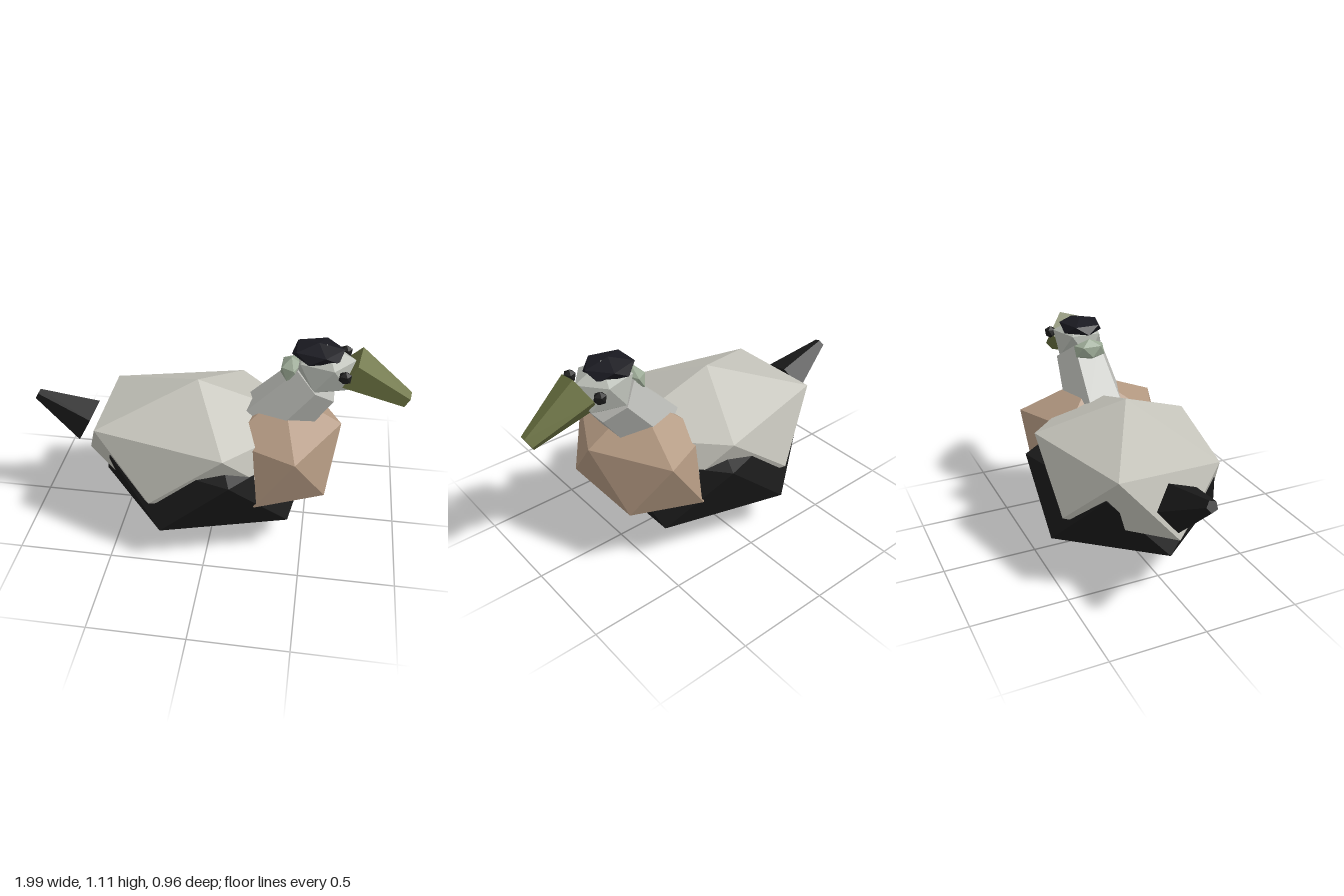
import * as THREE from 'three';

const material = (color) => new THREE.MeshStandardMaterial({ color, flatShading: true });
const black = material(0x1a1a1a);
const capBlack = material(0x191920);
const backGrey = material(0xc4c3ba);
const neckGrey = material(0xb9bab5);
const headGrey = material(0xb4b8b0);
const tuftGreen = material(0x9aa894);
const tan = material(0xb0967f);
const olive = material(0x6c7342);

// Stretched icosahedron standing on a corner, with an upper-ring corner towards +x
const TILT = Math.atan(2 / (1 + Math.sqrt(5)));
function gem(name, mat, center, radii) {
  const geometry = new THREE.IcosahedronGeometry(1, 0);
  geometry.rotateZ(-TILT).scale(...radii);
  const mesh = new THREE.Mesh(geometry, mat);
  mesh.name = name;
  mesh.position.set(...center);
  return mesh;
}

// Tapered prism between two points of the z = 0 plane
function taper(name, mat, [ax, ay], [bx, by], ra, rb, sides) {
  const dx = bx - ax, dy = by - ay;
  const geometry = new THREE.CylinderGeometry(rb, ra, Math.hypot(dx, dy), sides, 1, false, Math.PI);
  const mesh = new THREE.Mesh(geometry, mat);
  mesh.name = name;
  mesh.position.set((ax + bx) / 2, (ay + by) / 2, 0);
  mesh.rotation.z = Math.atan2(-dx, dy);
  return mesh;
}

export function createModel() {
  const bird = new THREE.Group();
  bird.name = 'waterBird';

  // Body
  bird.add(
    gem('belly', black, [-0.05, 0.36, 0], [0.65, 0.36, 0.565]),
    gem('back', backGrey, [-0.1, 0.495, 0], [0.693, 0.347, 0.515]),
    gem('breast', tan, [0.347, 0.495, 0], [0.35, 0.324, 0.47]),
    taper('tail', black, [-0.71, 0.522], [-0.987, 0.668], 0.125, 0.03, 5),
  );

  // Neck and head
  bird.add(
    taper('neck', neckGrey, [0.285, 0.63], [0.512, 0.9], 0.18, 0.145, 6),
    gem('head', headGrey, [0.55, 0.965, 0], [0.17, 0.14, 0.153]),
    gem('cap', capBlack, [0.51, 1.062, 0], [0.146, 0.05, 0.129]),
    gem('headTuft', tuftGreen, [0.38, 0.957, 0], [0.06, 0.062, 0.1]),
    taper('beak', olive, [0.675, 0.985], [0.974, 0.822], 0.12, 0.045, 5),
  );

  // Eyes
  for (const side of [1, -1]) {
    bird.add(gem(side > 0 ? 'eyeFront' : 'eyeBack', black, [0.65, 1.0, side * 0.13], [0.035, 0.035, 0.035]));
  }
  return bird;
}
